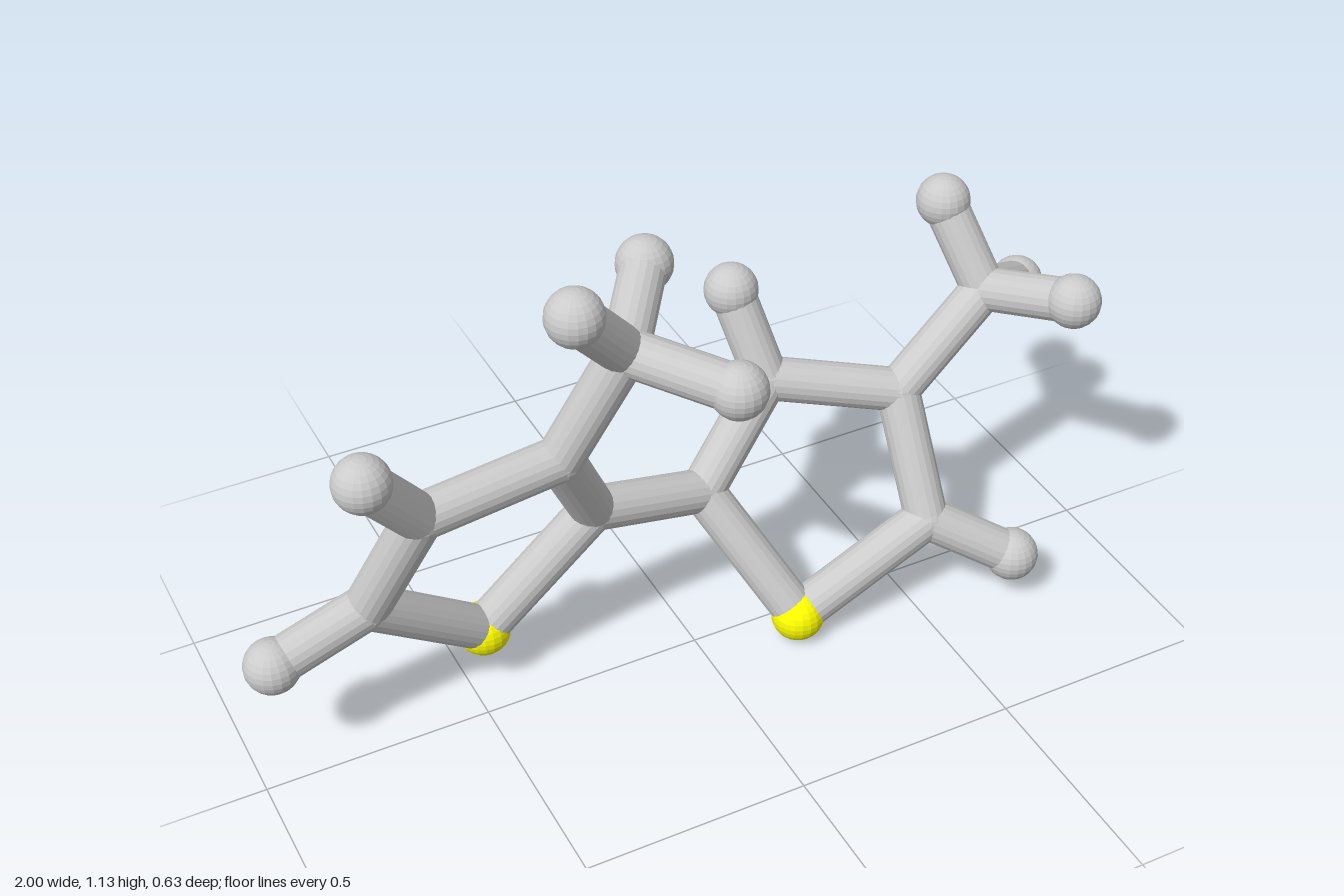
import * as THREE from 'three';

const BOND_R = 0.049, END_R = 0.06, JOINT_R = 0.05;

// Atom centres: [x, y, z, kind]  (c = joint, s = yellow ball, h = end ball)
const ATOMS = {
  // right-hand ring
  s1: [-0.46, 0.15, -0.10, 's'],
  a2: [-0.205, 0.41, -0.07, 'c'],
  a3: [-0.32, 0.655, 0.03, 'c'],
  a4: [-0.63, 0.635, 0.05, 'c'],
  a5: [-0.73, 0.37, -0.04, 'c'],
  a4h: [-0.755, 0.805, 0.105, 'h'],
  a5h: [-0.943, 0.305, -0.03, 'h'],
  // right-hand branch
  am: [-0.195, 0.915, 0.085, 'c'],
  am1: [-0.325, 1.073, 0.145, 'h'],
  am2: [-0.065, 0.975, -0.093, 'h'],
  am3: [-0.035, 0.88, 0.257, 'h'],
  // left-hand ring
  s2: [0.215, 0.062, 0.085, 's'],
  b2: [0.07, 0.335, -0.10, 'c'],
  b3: [0.26, 0.535, -0.165, 'c'],
  b4: [0.535, 0.48, -0.06, 'c'],
  b5: [0.54, 0.215, 0.083, 'c'],
  b3h: [0.22, 0.725, -0.257, 'h'],
  b5h: [0.715, 0.113, 0.177, 'h'],
  // left-hand branch
  bm: [0.765, 0.658, -0.093, 'c'],
  bm1: [0.715, 0.84, -0.203, 'h'],
  bm2: [0.86, 0.717, 0.108, 'h'],
  bm3: [0.94, 0.553, -0.212, 'h'],
};

// Chains of atoms joined by rods
const CHAINS = [
  'a2 a3 a4 a5 s1 a2', 'a4 a4h', 'a5 a5h',
  'a3 am am1', 'am am2', 'am am3',
  'a2 b2',
  'b2 b3 b4 b5 s2 b2', 'b3 b3h', 'b5 b5h',
  'b4 bm bm1', 'bm bm2', 'bm bm3',
];

export function createModel() {
  const model = new THREE.Group();
  model.name = 'molecule';
  const grey = new THREE.MeshStandardMaterial({ color: 0xcccccc, flatShading: true });
  const yellow = new THREE.MeshStandardMaterial({ color: 0xffff00, flatShading: true });
  const kinds = {
    c: ['carbonJoint', JOINT_R, grey],
    h: ['hydrogenBall', END_R, grey],
    s: ['sulphurBall', END_R, yellow],
  };

  // Atoms
  const points = {};
  for (const [id, [x, y, z, kind]] of Object.entries(ATOMS)) {
    const [name, radius, material] = kinds[kind];
    const ball = new THREE.Mesh(new THREE.SphereGeometry(radius, 20, 14), material);
    ball.name = name;
    ball.position.set(x, y, z);
    points[id] = ball.position;
    model.add(ball);
  }

  // Bonds: a rod between each pair of neighbours in a chain
  const up = new THREE.Vector3(0, 1, 0);
  for (const chain of CHAINS) {
    const ids = chain.split(' ');
    for (let i = 1; i < ids.length; i++) {
      const p = points[ids[i - 1]], q = points[ids[i]];
      const along = q.clone().sub(p);
      const rod = new THREE.Mesh(
        new THREE.CylinderGeometry(BOND_R, BOND_R, along.length(), 20), grey);
      rod.name = 'bond';
      rod.position.copy(p).lerp(q, 0.5);
      rod.quaternion.setFromUnitVectors(up, along.normalize());
      model.add(rod);
    }
  }
  return model;
}
